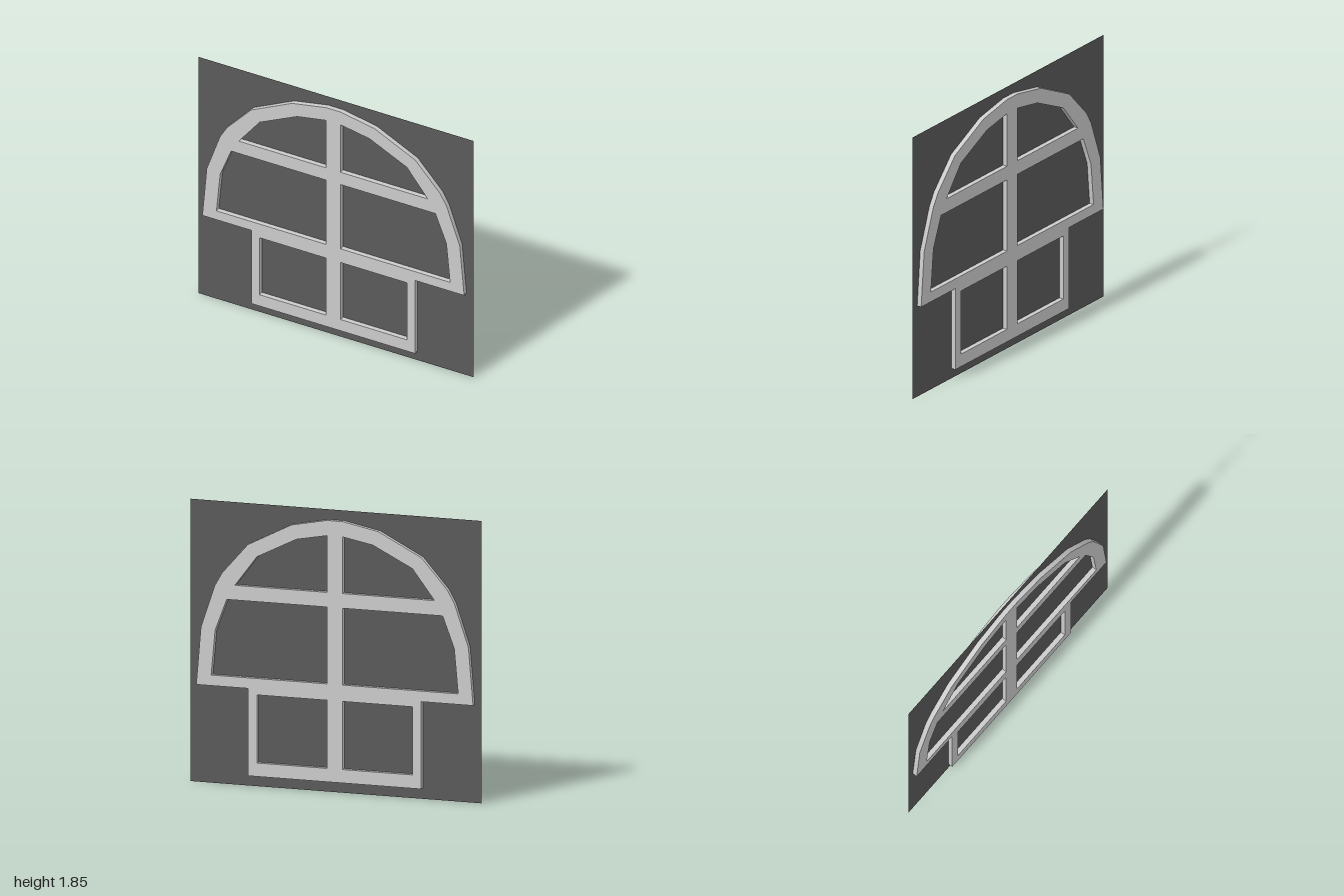
import * as THREE from 'three';
import { toCreasedNormals } from 'three/addons/utils/BufferGeometryUtils.js';

const DEPTH = 0.064;
const CENTRE_X = -0.003;

// Right halves of the symmetric outline and of the window openings
const outerHalf = [
  [0.595, 0.07], [0.595, 0.642], [0.952, 0.642], [0.92, 1.02], [0.824, 1.3],
  [0.775, 1.385], [0.598, 1.583], [0.3, 1.733], [0.054, 1.781],
];
const openings = [
  [[0.054, 1.31], [0.687, 1.31], [0.535, 1.508], [0.263, 1.642], [0.054, 1.681]],
  [[0.054, 0.711], [0.85, 0.711], [0.823, 1.005], [0.743, 1.214], [0.054, 1.214]],
  [[0.054, 0.158], [0.535, 0.158], [0.535, 0.604], [0.054, 0.604]],
];

const toPoints = (list, side) => list.map(([x, y]) => new THREE.Vector2(side * x, y));

export function createModel() {
  const model = new THREE.Group();
  model.name = 'archedWindow';

  // Arched frame with its bars, cut from one slab
  const outline = new THREE.Shape([
    ...toPoints(outerHalf, 1),
    ...toPoints(outerHalf, -1).reverse(),
  ]);
  for (const side of [1, -1]) {
    for (const opening of openings) outline.holes.push(new THREE.Path(toPoints(opening, side)));
  }
  const frameGeometry = new THREE.ExtrudeGeometry(outline, { depth: DEPTH, bevelEnabled: false });
  frameGeometry.translate(CENTRE_X, 0, -DEPTH / 2);
  const frame = new THREE.Mesh(
    toCreasedNormals(frameGeometry, 0.6),
    new THREE.MeshStandardMaterial({ color: 0xcccccc })
  );
  frame.name = 'windowFrame';
  model.add(frame);

  // Thin dark pane running through the middle of the frame
  const pane = new THREE.Mesh(
    new THREE.PlaneGeometry(2, 1.848),
    new THREE.MeshStandardMaterial({ color: 0x5a5a5a, side: THREE.DoubleSide })
  );
  pane.position.y = 0.924;
  pane.name = 'pane';
  model.add(pane);

  return model;
}
